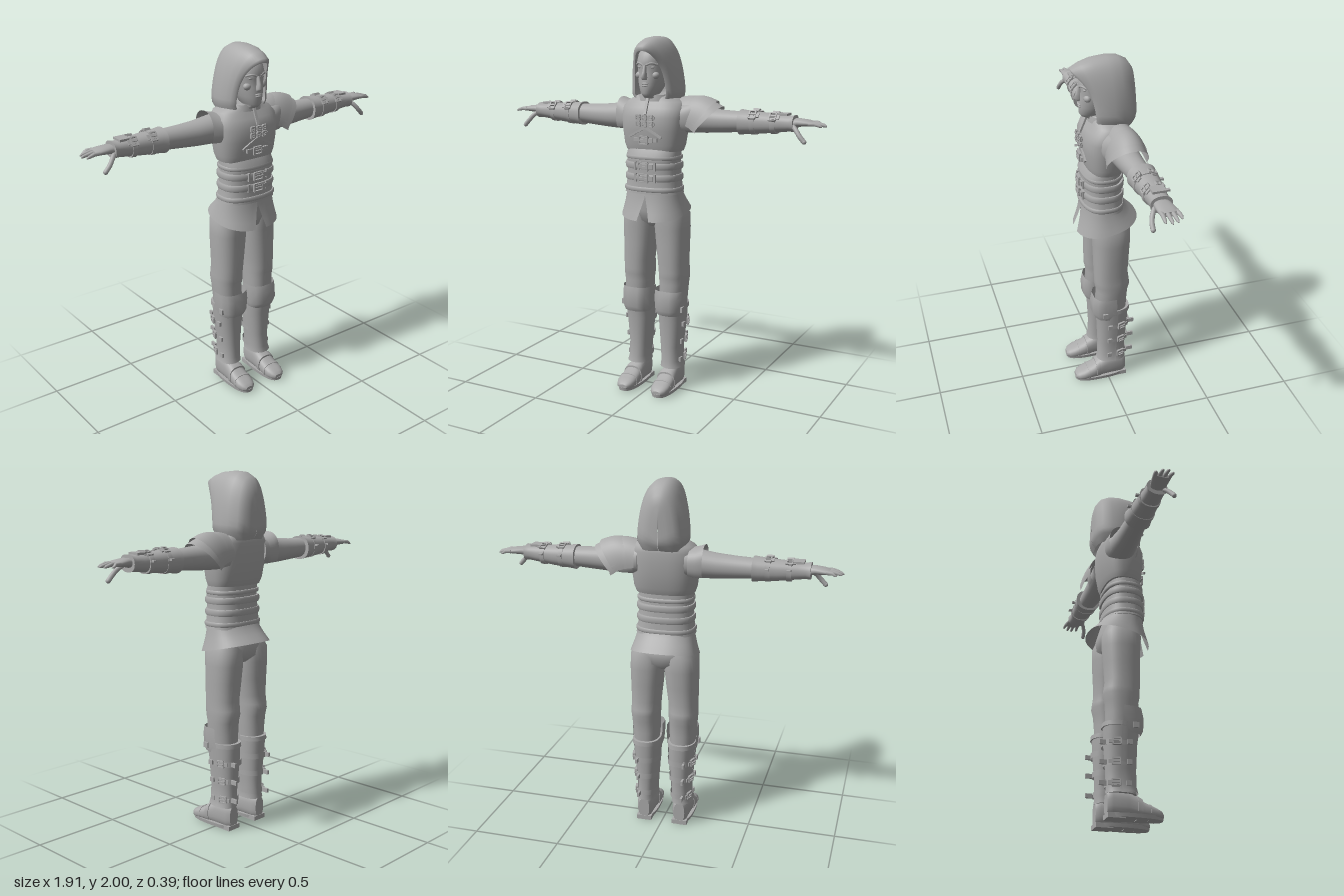
import * as THREE from 'three';
import { mergeGeometries } from 'three/addons/utils/BufferGeometryUtils.js';

const TAU = Math.PI * 2;
const spow = (v, e) => Math.sign(v) * Math.abs(v) ** e;

// Indexed surface from a grid of points; rows may wrap round
function grid(rows, closed, flip) {
  const pos = rows.flat(2), idx = [], m = rows[0].length;
  for (let i = 0; i < rows.length - 1; i++) for (let j = 0; j < (closed ? m : m - 1); j++) {
    const a = i * m + j, b = i * m + (j + 1) % m, c = a + m, d = b + m;
    flip ? idx.push(a, c, b, b, c, d) : idx.push(a, b, c, b, d, c);
  }
  return { pos, idx };
}
function toGeometry({ pos, idx }) {
  const g = new THREE.BufferGeometry();
  g.setAttribute('position', new THREE.Float32BufferAttribute(pos, 3));
  g.setIndex(idx);
  g.computeVertexNormals();
  return g;
}

// Superellipse sections along an axis: [station, centre1, centre2, radius1, radius2, gap]
function loft(axis, rings, { n = 32, from = 0, to = TAU, p = 2.3, open = false } = {}) {
  const closed = !open && to - from > TAU - 0.001, flip = axis === 'y';
  const rows = rings.map(([s, c1, c2, r1, r2, gap = 0]) =>
    Array.from({ length: closed ? n : n + 1 }, (_, j) => {
      const t = from + gap + (to - from - 2 * gap) * j / n;
      const u = c1 + r1 * spow(Math.cos(t), 2 / p), v = c2 + r2 * spow(Math.sin(t), 2 / p);
      return axis === 'y' ? [u, s, v] : axis === 'x' ? [s, u, v] : [u, v, s];
    }));
  const data = grid(rows, closed, flip);
  if (closed) [0, rings.length - 1].forEach((r, end) => {
    const base = data.pos.length / 3, [s, c1, c2] = rings[r];
    data.pos.push(...rows[r].flat(), ...(axis === 'y' ? [c1, s, c2] : axis === 'x' ? [s, c1, c2] : [c1, c2, s]));
    for (let j = 0; j < n; j++) {
      const a = base + j, b = base + (j + 1) % n, c = base + n;
      (end === 0) === flip ? data.idx.push(a, b, c) : data.idx.push(b, a, c);
    }
  });
  return toGeometry(data);
}

const box = (w, h, d, x = 0, y = 0, z = 0) => new THREE.BoxGeometry(w, h, d).translate(x, y, z);
const tube = (pts, r, seg = 8) => new THREE.TubeGeometry(
  new THREE.CatmullRomCurve3(pts.map(q => new THREE.Vector3(...q))), seg, r, 8);
const ball = (r, x, y, z, sx = 1, sy = 1, sz = 1) =>
  new THREE.SphereGeometry(r, 14, 10).scale(sx, sy, sz).translate(x, y, z);

// Square buckle frame with prong and strap end, facing +z
const buckle = (w, h) => mergeGeometries([
  box(w, 0.007, 0.012, 0, h / 2), box(w, 0.007, 0.012, 0, -h / 2),
  box(0.007, h, 0.012, w / 2), box(0.007, h, 0.012, -w / 2),
  box(w, 0.006, 0.008, 0, 0, 0.005), box(w * 1.5, h * 0.6, 0.006, w * 0.3, 0, -0.002)]);

export function createModel() {
  const model = new THREE.Group();
  const grey = new THREE.MeshStandardMaterial({ color: 0xaaaaaa, side: THREE.DoubleSide });
  grey.name = 'plain grey';
  const add = (name, geo) => {
    const mesh = new THREE.Mesh(geo, grey);
    mesh.name = name;
    model.add(mesh);
  };
  // Left part plus its mirror image
  const pair = (name, geo) => {
    add(name + 'Left', geo);
    const m = geo.clone().scale(-1, 1, 1);
    m.index.array.reverse();
    add(name + 'Right', m);
  };

  // Head and face
  add('head', loft('y', [[1.56, 0, -0.02, 0.058, 0.055], [1.66, 0, 0, 0.055, 0.058], [1.682, 0, 0.055, 0.03, 0.055],
    [1.7, 0, 0.05, 0.048, 0.073], [1.74, 0, 0.03, 0.065, 0.094], [1.79, 0, 0.02, 0.077, 0.102],
    [1.835, 0, 0.015, 0.081, 0.1], [1.86, 0, 0.02, 0.082, 0.107], [1.91, 0, 0.01, 0.075, 0.1],
    [1.945, 0, 0, 0.05, 0.07], [1.96, 0, 0, 0.015, 0.02]], { p: 2.1 }));
  add('nose', loft('y', [[1.772, 0, 0.122, 0.014, 0.012], [1.785, 0, 0.126, 0.017, 0.024],
    [1.81, 0, 0.12, 0.011, 0.02], [1.85, 0, 0.115, 0.008, 0.012]], { n: 12 }));
  add('upperLip', ball(0.022, 0, 1.752, 0.121, 1, 0.25, 0.45));
  add('lowerLip', ball(0.02, 0, 1.741, 0.12, 1, 0.3, 0.45));
  pair('eye', ball(0.013, 0.034, 1.838, 0.102, 1.2, 0.6, 0.6));
  pair('brow', tube([[0.01, 1.85, 0.122], [0.035, 1.86, 0.116], [0.062, 1.852, 0.092]], 0.006));
  pair('cheek', ball(0.026, 0.045, 1.795, 0.088, 1, 0.8, 0.8));

  // Hood: arches from the peaked brow to the back [topY, topZ, lowY, lowZ, halfWidth, sideBend]
  const arches = [[1.925, 0.16, 1.655, 0.05, 0.088, 4], [1.95, 0.17, 1.65, 0.045, 0.1, 4], [1.975, 0.12, 1.645, 0.03, 0.112, 2.5],
    [1.993, 0.06, 1.64, 0, 0.123, 2], [2, -0.02, 1.635, -0.04, 0.129, 1], [1.995, -0.08, 1.635, -0.085, 0.126, 1],
    [1.97, -0.13, 1.635, -0.12, 0.108, 1], [1.93, -0.157, 1.635, -0.142, 0.08, 1],
    [1.88, -0.17, 1.637, -0.15, 0.045, 1], [1.82, -0.174, 1.64, -0.152, 0.001, 1]];
  const hood = arches.map(([ty, tz, ly, lz, w, bend]) => Array.from({ length: 41 }, (_, j) => {
    const t = Math.PI * j / 40, h = Math.max(0, Math.sin(t)) ** 0.8;
    const flare = 1 + 0.12 * (1 - h) - 0.22 * Math.max(0, 1 - h / 0.14);
    const bulge = lz < -0.1 ? -0.025 * Math.sin(Math.min(1, h * 3) * Math.PI / 2) * (1 - h) : 0;
    return [w * spow(Math.cos(t), 0.8) * flare, ly + (ty - ly) * h, lz + (tz - lz) * (0.3 * h + 0.7 * h ** bend) + bulge];
  }));
  add('hood', toGeometry(grid(hood, false, false)));

  // Torso
  add('chestArmour', loft('y', [[1.385, 0, -0.003, 0.162, 0.098], [1.42, 0, -0.005, 0.174, 0.11], [1.5, 0, -0.007, 0.184, 0.123],
    [1.57, 0, -0.008, 0.189, 0.126], [1.62, 0, -0.018, 0.187, 0.115], [1.652, 0, -0.028, 0.165, 0.1],
    [1.675, 0, -0.025, 0.12, 0.09], [1.69, 0, -0.015, 0.08, 0.075]], { p: 2.6, n: 40 }));
  pair('armholeRim', loft('x', [[0.15, 1.56, -0.04, 0.085, 0.098], [0.19, 1.56, -0.045, 0.092, 0.095],
    [0.228, 1.565, -0.048, 0.1, 0.085]], { from: -2.2, to: 2.2, open: true }));
  add('collar', loft('y', [[1.655, 0, -0.01, 0.1, 0.09], [1.69, 0, 0, 0.085, 0.075]], { open: true }));
  add('collarStrap', box(0.016, 0.1, 0.01).rotateX(-0.4).translate(0, 1.635, 0.1));
  const waist = [[1.15, 0, 0.005, 0.167, 0.115], [1.18, 0, 0.006, 0.16, 0.112], [1.25, 0, 0.006, 0.152, 0.107],
    [1.33, 0, 0.012, 0.152, 0.105], [1.36, 0, 0.012, 0.155, 0.106], [1.41, 0, 0, 0.15, 0.09]];
  add('waistWrap', loft('y', waist, { p: 2.5, n: 40 }));
  const band = (y, h, r1, r2) => loft('y', [[y - h / 2, 0, 0.007, r1 - 0.004, r2 - 0.004], [y - h / 4, 0, 0.007, r1, r2],
    [y + h / 4, 0, 0.007, r1, r2], [y + h / 2, 0, 0.007, r1 - 0.004, r2 - 0.004]], { p: 2.5, n: 40 });
  add('lowerRim', band(1.175, 0.025, 0.168, 0.119));
  add('upperRim', band(1.35, 0.022, 0.16, 0.113));
  [1.24, 1.305].forEach(y => {
    add('waistBelt', band(y, 0.036, 0.163, 0.117));
    add('waistBuckle', buckle(0.055, 0.042).translate(-0.005, y, 0.131));
    [-0.06, 0.06].forEach(x => add('beltLoop', box(0.012, 0.046, 0.012, x, y, 0.12)));
  });

  // Chest straps and clasps
  [1.535, 1.57].forEach(y => {
    add('claspStrap', box(0.1, 0.012, 0.01, 0, y, 0.122));
    [-0.038, 0, 0.038].forEach(x => add('clasp', buckle(0.022, 0.024).translate(x, y, 0.126)));
  });
  add('chestBelt', box(0.14, 0.02, 0.01, 0, 1.45, 0.113));
  add('chestBuckle', buckle(0.05, 0.04).translate(-0.005, 1.448, 0.125));
  pair('diagonalStrap', box(0.11, 0.012, 0.01).rotateZ(-0.5).translate(0.05, 1.49, 0.118));

  // Flared skirt, split at the front, hem lower at the front
  const skirt = loft('y', [[1.035, 0, -0.018, 0.192, 0.173, 0.15], [1.065, 0, -0.015, 0.183, 0.158, 0.11], [1.1, 0, -0.009, 0.173, 0.139, 0.06],
    [1.14, 0, 0, 0.163, 0.121, 0.005], [1.17, 0, 0.005, 0.158, 0.112, 0]],
  { from: Math.PI / 2, to: Math.PI / 2 + TAU, open: true, n: 48 });
  const sp = skirt.attributes.position;
  for (let i = 0; i < sp.count; i++) sp.setY(i, sp.getY(i) - 0.22 * sp.getZ(i) * (1.17 - sp.getY(i)) / 0.135);
  skirt.computeVertexNormals();
  add('skirt', skirt);
  add('hips', loft('y', [[0.955, 0, -0.025, 0.05, 0.06], [0.99, 0, -0.025, 0.14, 0.1], [1.05, 0, -0.02, 0.165, 0.112],
    [1.16, 0, 0, 0.145, 0.1]]));

  // Legs and boots
  pair('trouserLeg', loft('y', [[0.45, 0.106, -0.03, 0.066, 0.08], [0.56, 0.108, -0.022, 0.076, 0.09], [0.63, 0.11, -0.027, 0.079, 0.09],
    [0.67, 0.11, -0.028, 0.082, 0.1], [0.7, 0.11, -0.026, 0.082, 0.098], [0.75, 0.108, -0.021, 0.083, 0.096],
    [0.85, 0.103, -0.023, 0.09, 0.1], [0.95, 0.099, -0.025, 0.096, 0.105], [1.03, 0.096, -0.022, 0.096, 0.108],
    [1.1, 0.085, -0.01, 0.075, 0.09]]));
  const boot = [[0.13, 0.107, -0.028, 0.06, 0.082], [0.165, 0.104, -0.03, 0.053, 0.077], [0.25, 0.101, -0.032, 0.056, 0.077],
    [0.4, 0.102, -0.035, 0.07, 0.086], [0.5, 0.105, -0.03, 0.075, 0.095]];
  pair('bootShaft', loft('y', boot));
  pair('shinGuard', loft('y', boot.map(([y, a, b, r, q]) => [y + 0.006, a, b, r + 0.007, q + 0.008]),
    { from: -0.1, to: Math.PI + 0.1 }));
  pair('bootTopRim', loft('y', [[0.485, 0.105, -0.032, 0.08, 0.1], [0.51, 0.105, -0.03, 0.08, 0.1]]));
  pair('kneeGuard', loft('y', [[0.45, 0.103, -0.01, 0.078, 0.085], [0.48, 0.102, -0.005, 0.085, 0.095],
    [0.55, 0.101, -0.005, 0.09, 0.098], [0.595, 0.101, -0.005, 0.09, 0.088]], { from: -0.25, to: Math.PI + 0.25, n: 7, p: 2.6 }));
  pair('kneeStud', box(0.012, 0.03, 0.03, 0.188, 0.49, 0.03));
  [[0.18, 0.101, 0.054], [0.29, 0.101, 0.061], [0.395, 0.102, 0.071]].forEach(([y, cx, r]) => {
    pair('bootStrap', loft('y', [[y - 0.016, cx, -0.035, r + 0.005, r + 0.025], [y + 0.016, cx, -0.035, r + 0.006, r + 0.025]],
      { from: Math.PI - 0.2, to: TAU + 0.2 }));
    pair('bootBuckle', buckle(0.04, 0.034).rotateY(Math.PI / 2 + 0.3).translate(cx + r + 0.004, y, -0.07));
    pair('strapEnd', box(0.012, 0.024, 0.04, cx + r * 0.5, y, -0.133));
    pair('strapStud', box(0.012, 0.026, 0.026, cx + r + 0.009, y, -0.002));
  });

  // Feet
  pair('foot', loft('z', [[-0.108, 0.107, 0.075, 0.032, 0.06], [-0.08, 0.107, 0.08, 0.046, 0.075], [0, 0.107, 0.078, 0.048, 0.072],
    [0.045, 0.107, 0.066, 0.05, 0.06], [0.09, 0.108, 0.052, 0.055, 0.044], [0.15, 0.109, 0.04, 0.054, 0.032],
    [0.18, 0.109, 0.035, 0.043, 0.024], [0.195, 0.108, 0.03, 0.024, 0.013]], { p: 2.5 }));
  pair('sole', loft('y', [[0.006, 0.108, 0.045, 0.055, 0.15], [0.026, 0.108, 0.045, 0.058, 0.154]], { p: 2.6 }));
  pair('heel', box(0.088, 0.026, 0.095, 0.107, 0.013, -0.063));
  pair('instepStrap', loft('z', [[0.05, 0.107, 0.066, 0.054, 0.064], [0.075, 0.107, 0.06, 0.057, 0.056]], { p: 2.5 }));
  pair('toeSeam', loft('z', [[0.115, 0.108, 0.047, 0.057, 0.042], [0.125, 0.108, 0.045, 0.057, 0.04]], { p: 2.5 }));

  // Arms and bracers
  pair('sleeve', loft('x', [[0.13, 1.565, -0.045, 0.08, 0.08], [0.2, 1.56, -0.045, 0.076, 0.078], [0.3, 1.555, -0.046, 0.067, 0.068],
    [0.4, 1.555, -0.05, 0.06, 0.06], [0.5, 1.557, -0.053, 0.054, 0.055]], { p: 2.1 }));
  pair('bracer', loft('x', [[0.49, 1.556, -0.055, 0.067, 0.075], [0.52, 1.556, -0.055, 0.063, 0.07], [0.62, 1.557, -0.055, 0.055, 0.061],
    [0.72, 1.56, -0.052, 0.045, 0.052], [0.765, 1.562, -0.05, 0.041, 0.05], [0.79, 1.563, -0.05, 0.044, 0.056]]));
  [[0.57, 0.062, 0.069], [0.68, 0.053, 0.061]].forEach(([x, ry, rz]) => {
    pair('bracerStrap', loft('x', [[x - 0.013, 1.557, -0.054, ry + 0.002, rz], [x + 0.013, 1.557, -0.054, ry, rz - 0.002]]));
    pair('bracerBuckle', buckle(0.034, 0.045).rotateX(-0.7).translate(x, 1.557 + ry * 0.72, -0.054 + rz * 0.75));
    pair('bracerTopBuckle', buckle(0.03, 0.04).rotateX(-2).translate(x, 1.557 + ry * 0.95, -0.054 - rz * 0.4));
    pair('bracerStrapEnd', box(0.018, 0.01, 0.04, x, 1.57, -0.05 - rz));
  });
  pair('wristPlate', box(0.06, 0.012, 0.07, 0.725, 1.608, -0.052));

  // Hands
  pair('palm', loft('x', [[0.77, 1.562, -0.05, 0.026, 0.036], [0.81, 1.57, -0.05, 0.022, 0.044], [0.86, 1.569, -0.054, 0.017, 0.048],
    [0.888, 1.566, -0.056, 0.012, 0.045]]));
  [[-0.093, -0.102, 0.925], [-0.069, -0.073, 0.95], [-0.044, -0.045, 0.957], [-0.019, -0.016, 0.942]].forEach(([z0, z1, tip]) =>
    pair('finger', loft('x', [[0.868, 1.568, z0, 0.011, 0.011], [0.9, 1.568, z0 * 0.6 + z1 * 0.4, 0.0105, 0.0105],
      [tip - 0.012, 1.56, z1, 0.008, 0.008], [tip, 1.556, z1, 0.003, 0.003]], { n: 10 })));
  pair('thumb', tube([[0.785, 1.555, -0.02], [0.81, 1.535, 0], [0.835, 1.505, 0.012], [0.86, 1.478, 0.014]], 0.0125));
  pair('thumbTip', ball(0.0125, 0.86, 1.478, 0.014));

  // Left shoulder guard: overlapping pointed shells over the arm
  const shell = (x0, x1, tip, y0, y1, rise, rz) => toGeometry(grid(Array.from({ length: 7 }, (_, i) => {
    const v = i / 6;
    return Array.from({ length: 25 }, (_, j) => {
      const t = -0.1 + (Math.PI + 0.2) * j / 24, s = Math.sin(t);
      return [x0 + (x1 - x0) * v + tip * v * Math.max(0, s), y0 + (y1 - y0) * v + (rise + 0.015 * Math.sin(v * Math.PI)) * s,
        -0.057 + rz * (0.92 + 0.08 * v) * Math.cos(t)];
    });
  }), false, false));
  add('shoulderGuardTop', shell(0.14, 0.23, 0.08, 1.55, 1.54, 0.125, 0.1));
  add('shoulderGuardMiddle', shell(0.19, 0.25, 0.1, 1.545, 1.525, 0.135, 0.106));
  add('shoulderGuardLower', shell(0.22, 0.265, 0.115, 1.535, 1.505, 0.127, 0.11));

  return model;
}
